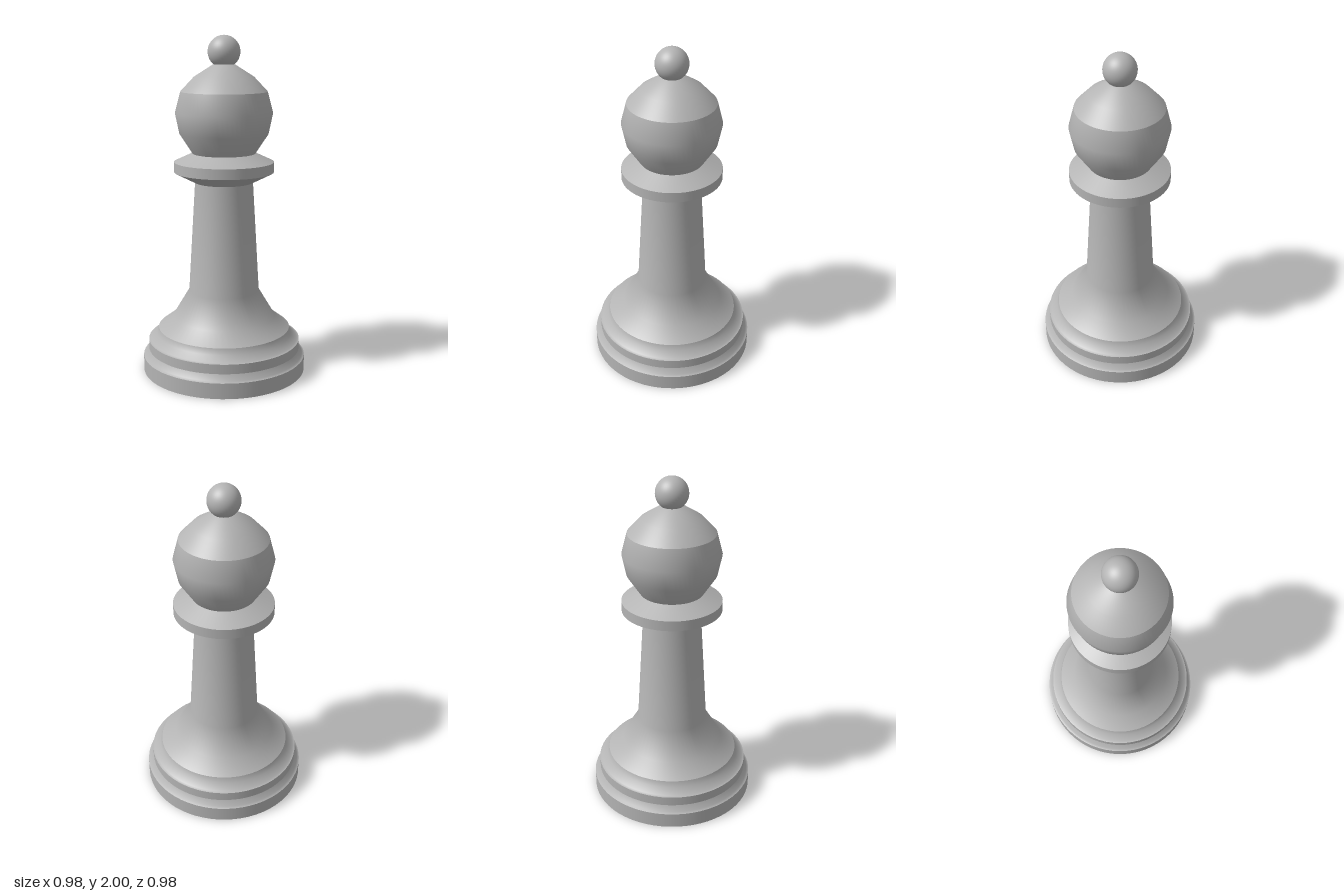
import * as THREE from 'three';

const SEGMENTS = 64;

export function createModel() {
  const model = new THREE.Group();
  model.name = 'chessBishop';
  const stone = new THREE.MeshStandardMaterial({ color: 0xb4b4b4 });
  stone.name = 'grey';

  // Each section is a smooth band of [radius, height] points; edges between sections stay sharp
  function turned(name, sections) {
    const part = new THREE.Group();
    part.name = name;
    sections.forEach((section, i) => {
      const points = section.map(([r, y]) => new THREE.Vector2(r, y));
      const mesh = new THREE.Mesh(new THREE.LatheGeometry(points, SEGMENTS), stone);
      mesh.name = `${name}Band${i + 1}`;
      part.add(mesh);
    });
    model.add(part);
  }

  // Stepped foot with its closed underside
  turned('base', [
    [[0, 0], [0.49, 0]],
    [[0.49, 0], [0.49, 0.093]],
    [[0.49, 0.093], [0.475, 0.1], [0.457, 0.135]],
    [[0.457, 0.135], [0.457, 0.192]],
    [[0.457, 0.192], [0.443, 0.196], [0.407, 0.228], [0.396, 0.264]],
  ]);

  // Flared skirt running into the tapered column
  turned('stem', [
    [[0.396, 0.264], [0.306, 0.332], [0.21, 0.493], [0.171, 1.15]],
  ]);

  // Collar ring with bevelled top and underside
  turned('collar', [
    [[0.171, 1.15], [0.293, 1.212]],
    [[0.293, 1.212], [0.293, 1.272]],
    [[0.293, 1.272], [0.185, 1.322]],
  ]);

  // Rounded head with a crease below the crown
  turned('head', [
    [[0.185, 1.322], [0.26, 1.437], [0.285, 1.558], [0.253, 1.68]],
    [[0.253, 1.68], [0.174, 1.764], [0.065, 1.833], [0, 1.845]],
  ]);

  // Ball on top
  const finial = new THREE.Mesh(new THREE.SphereGeometry(0.094, 40, 24), stone);
  finial.name = 'finial';
  finial.position.y = 1.906;
  model.add(finial);

  return model;
}
